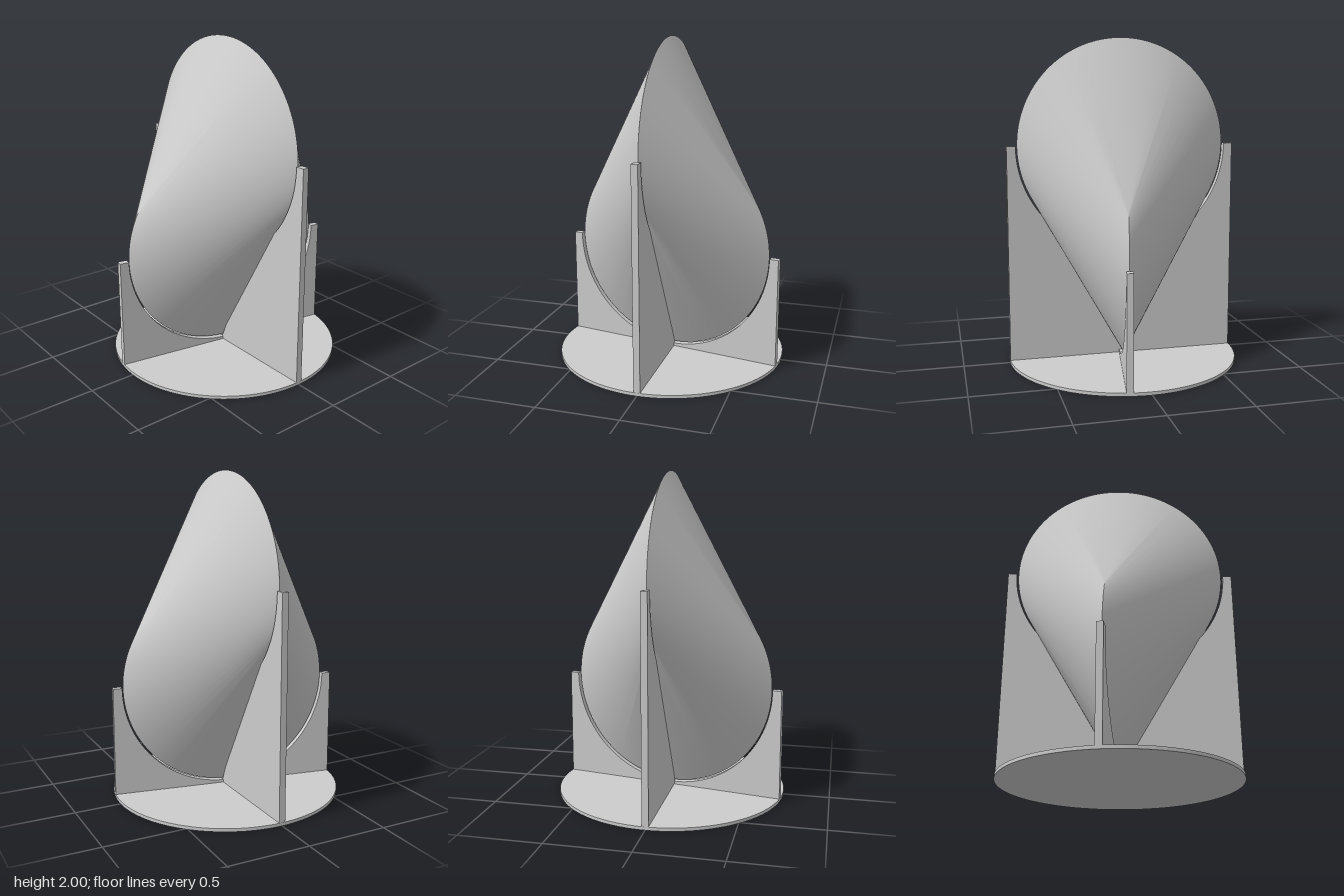
import * as THREE from 'three';
import { toCreasedNormals } from 'three/addons/utils/BufferGeometryUtils.js';
import { ConvexGeometry } from 'three/addons/geometries/ConvexGeometry.js';

const R = 0.652;            // radius of both generating circles
const UPPER = 1.348;        // centre height of the upper circle
const LOWER = 0.697;        // centre height of the lower circle
const TURN = -100 * Math.PI / 180; // heading of the lower circle's plane
const BASE_R = 0.717, BASE_H = 0.02, FIN = 0.04;

export function createModel() {
  const group = new THREE.Group();
  const grey = new THREE.MeshStandardMaterial({ color: 0xcccccc });
  grey.name = 'light grey';

  const add = (name, geometry) => {
    const mesh = new THREE.Mesh(geometry, grey);
    mesh.name = name;
    group.add(mesh);
    return mesh;
  };

  // Rolling body: convex hull of two linked circles in crossing planes
  const points = [];
  const addCircle = (height, turn, n = 180) => {
    for (let i = 0; i < n; i++) {
      const a = i / n * Math.PI * 2;
      const s = R * Math.sin(a);
      points.push(new THREE.Vector3(s * Math.cos(turn), height + R * Math.cos(a), -s * Math.sin(turn)));
    }
  };
  addCircle(UPPER, 0);
  addCircle(LOWER, TURN);
  add('oloidBody', toCreasedNormals(new ConvexGeometry(points), 0.5));

  // Round base plate
  const base = add('basePlate', new THREE.CylinderGeometry(BASE_R, BASE_R, BASE_H, 128));
  base.position.y = BASE_H / 2;

  // Support fin: outer upright with an inner edge that cradles the body
  const finGeometry = (height, radius, sweep) => {
    const shape = new THREE.Shape();
    shape.moveTo(0, BASE_H - 0.005);
    shape.lineTo(BASE_R - 0.001, BASE_H - 0.005);
    shape.lineTo(BASE_R - 0.001, height);
    shape.lineTo(radius, height);
    shape.absarc(0, height, radius, 0, -sweep, true);
    // A tangent line runs from the arc down to the centre
    shape.lineTo(0, height - radius / Math.sin(Math.PI / 2 - (Math.PI / 2 - sweep)) * Math.tan(sweep) * (sweep < 1.5 ? 1 : 0) - (sweep < 1.5 ? 0 : radius));
    const g = new THREE.ExtrudeGeometry(shape, { depth: FIN, bevelEnabled: false, curveSegments: 48 });
    g.translate(0, 0, -FIN / 2);
    return toCreasedNormals(g, 0.4);
  };
  const tall = finGeometry(UPPER, 0.662, Math.PI / 3);
  const short = finGeometry(LOWER, 0.66, Math.PI / 2);
  add('leftTallFin', tall);
  add('rightTallFin', tall).rotation.y = Math.PI;
  add('frontShortFin', short).rotation.y = TURN;
  add('backShortFin', short).rotation.y = TURN + Math.PI;

  return group;
}
